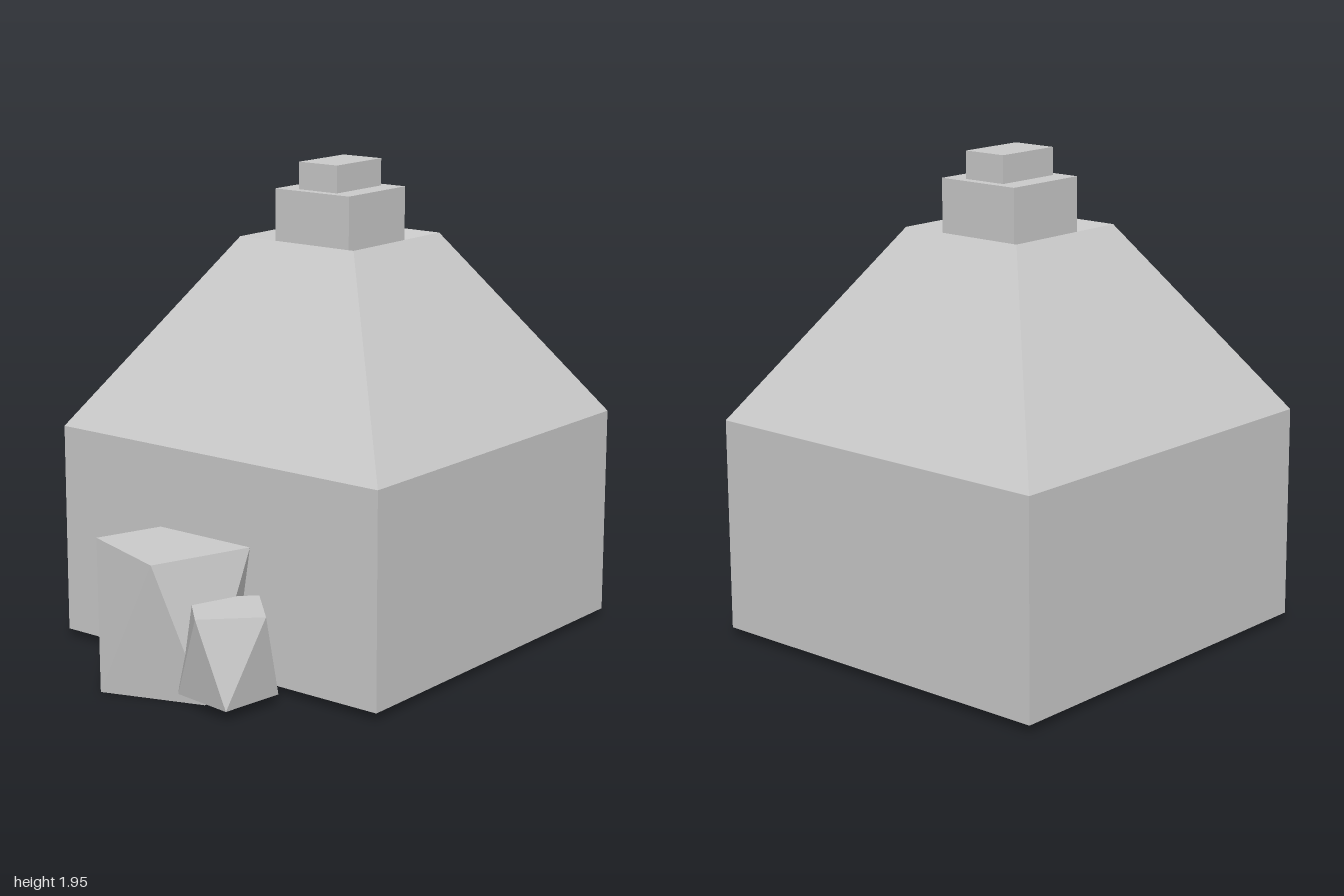
import * as THREE from 'three';

// Four-cornered ring given by half extents
const rectRing = (cx, cz, hx, hz, y) =>
  [[1, -1], [1, 1], [-1, 1], [-1, -1]].map(([sx, sz]) => [cx + sx * hx, y, cz + sz * hz]);

// Four-cornered ring given by radius and turn in degrees (from +x towards +z)
const turnedRing = (cx, cz, r, degrees, y) =>
  [0, 1, 2, 3].map((i) => {
    const a = THREE.MathUtils.degToRad(degrees + i * 90);
    return [cx + r * Math.cos(a), y, cz + r * Math.sin(a)];
  });

// Joins successive rings with triangles; the underside stays open
function loft(rings, capped) {
  const pos = [];
  const tri = (...pts) => pts.forEach((p) => pos.push(...p));
  for (let k = 0; k + 1 < rings.length; k++) {
    const a = rings[k], b = rings[k + 1];
    for (let i = 0; i < 4; i++) {
      const j = (i + 1) % 4;
      tri(a[i], b[i], b[j]);
      tri(a[i], b[j], a[j]);
    }
  }
  if (capped) {
    const t = rings[rings.length - 1];
    tri(t[0], t[2], t[1]);
    tri(t[0], t[3], t[2]);
  }
  const geometry = new THREE.BufferGeometry();
  geometry.setAttribute('position', new THREE.Float32BufferAttribute(pos, 3));
  geometry.computeVertexNormals();
  return geometry;
}

export function createModel() {
  const model = new THREE.Group();
  model.name = 'kilnWithRocks';

  const stone = new THREE.MeshStandardMaterial({ color: 0xcccccc, side: THREE.DoubleSide });
  stone.name = 'pale grey stone';

  const add = (name, rings, capped = false) => {
    const mesh = new THREE.Mesh(loft(rings, capped), stone);
    mesh.name = name;
    model.add(mesh);
  };

  // Hollow building: walls, sloping roof, sunken funnel and stepped chimney
  const ring = (hx, hz, y) => rectRing(0.205, -0.003, hx, hz, y);
  add('walls', [ring(0.795, 0.79, 0.03), ring(0.795, 0.79, 0.89)]);
  add('roof', [ring(0.795, 0.79, 0.89), ring(0.285, 0.285, 1.65)]);
  add('roofFunnel', [ring(0.285, 0.285, 1.65), ring(0.185, 0.185, 1.53)]);
  add('chimney', [ring(0.185, 0.185, 1.53), ring(0.185, 0.185, 1.84), ring(0.145, 0.095, 1.84)]);
  add('chimneyCap', [ring(0.145, 0.095, 1.84), ring(0.145, 0.095, 1.95)], true);

  // Twisted rocks beside the wall
  add('largeRock', [
    turnedRing(-0.725, -0.095, 0.306, 26.2, 0),
    turnedRing(-0.725, -0.095, 0.306, -26.2, 0.56),
  ], true);
  add('smallRock', [
    turnedRing(-0.795, 0.24, 0.19, 52.4, 0.04),
    turnedRing(-0.795, 0.24, 0.187, 0, 0.385),
  ], true);

  return model;
}
